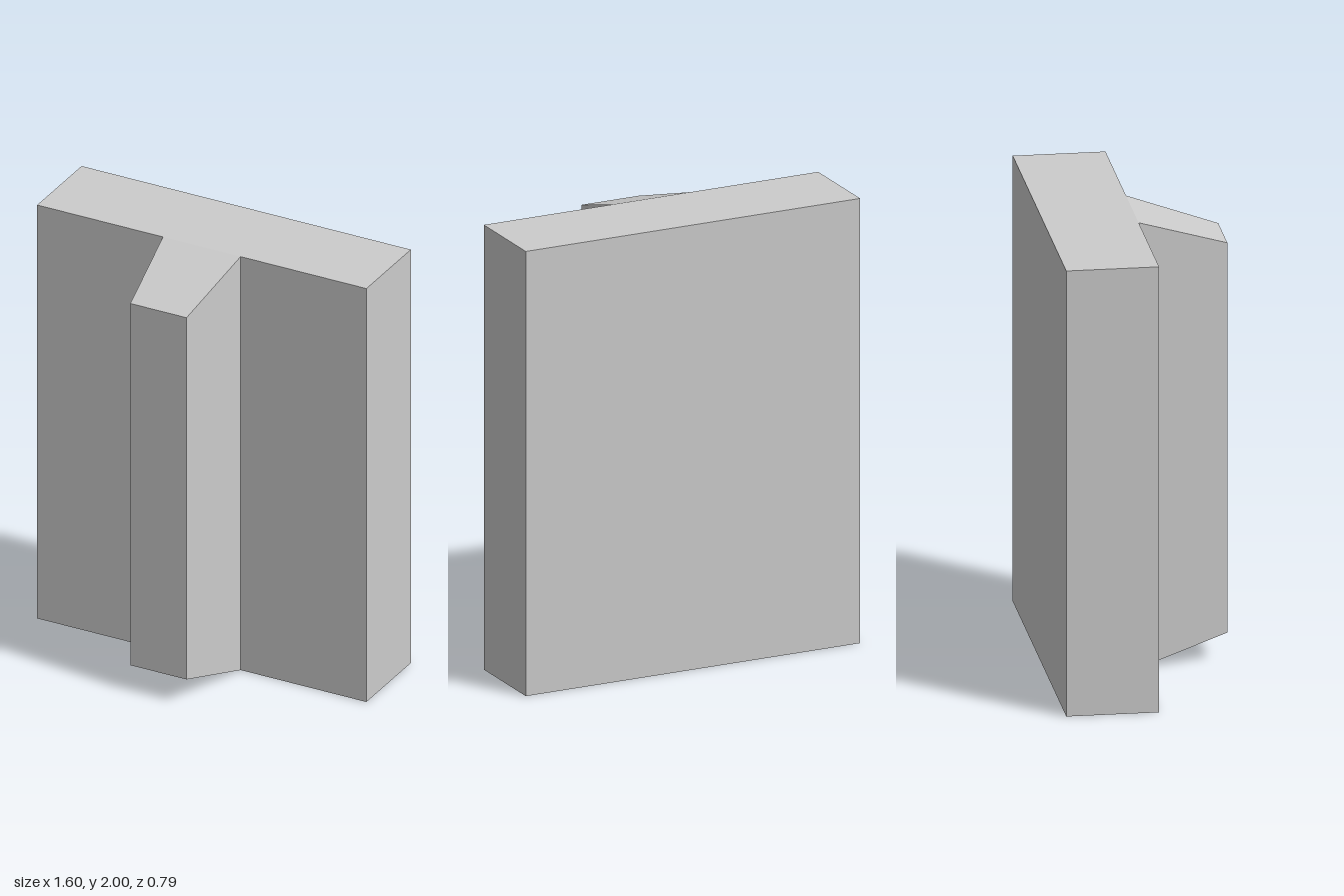
import * as THREE from 'three';

const WIDTH = 1.595, HEIGHT = 2;
const BACK = -0.395, SEAM = 0.005, FRONT = 0.395;

export function createModel() {
  const group = new THREE.Group();
  const material = new THREE.MeshStandardMaterial({ color: 0xcccccc, flatShading: true });

  // Flat rectangular slab
  const slab = new THREE.Mesh(new THREE.BoxGeometry(WIDTH, HEIGHT, SEAM - BACK), material);
  slab.name = 'slab';
  slab.position.set(0, HEIGHT / 2, (SEAM + BACK) / 2);
  group.add(slab);

  // Full-height rib on the front, tapering on all four sides toward its face
  const ribWidth = 0.376, tipWidth = 0.272, tipHeight = 1.75;
  const ribGeometry = new THREE.BoxGeometry(ribWidth, HEIGHT, FRONT - SEAM);
  const pos = ribGeometry.attributes.position;
  for (let i = 0; i < pos.count; i++) {
    if (pos.getZ(i) > 0) {
      pos.setX(i, pos.getX(i) * tipWidth / ribWidth);
      pos.setY(i, pos.getY(i) * tipHeight / HEIGHT);
    }
  }
  ribGeometry.computeVertexNormals();
  const rib = new THREE.Mesh(ribGeometry, material);
  rib.name = 'taperedRib';
  rib.position.set(0, HEIGHT / 2, (SEAM + FRONT) / 2);
  group.add(rib);

  return group;
}
